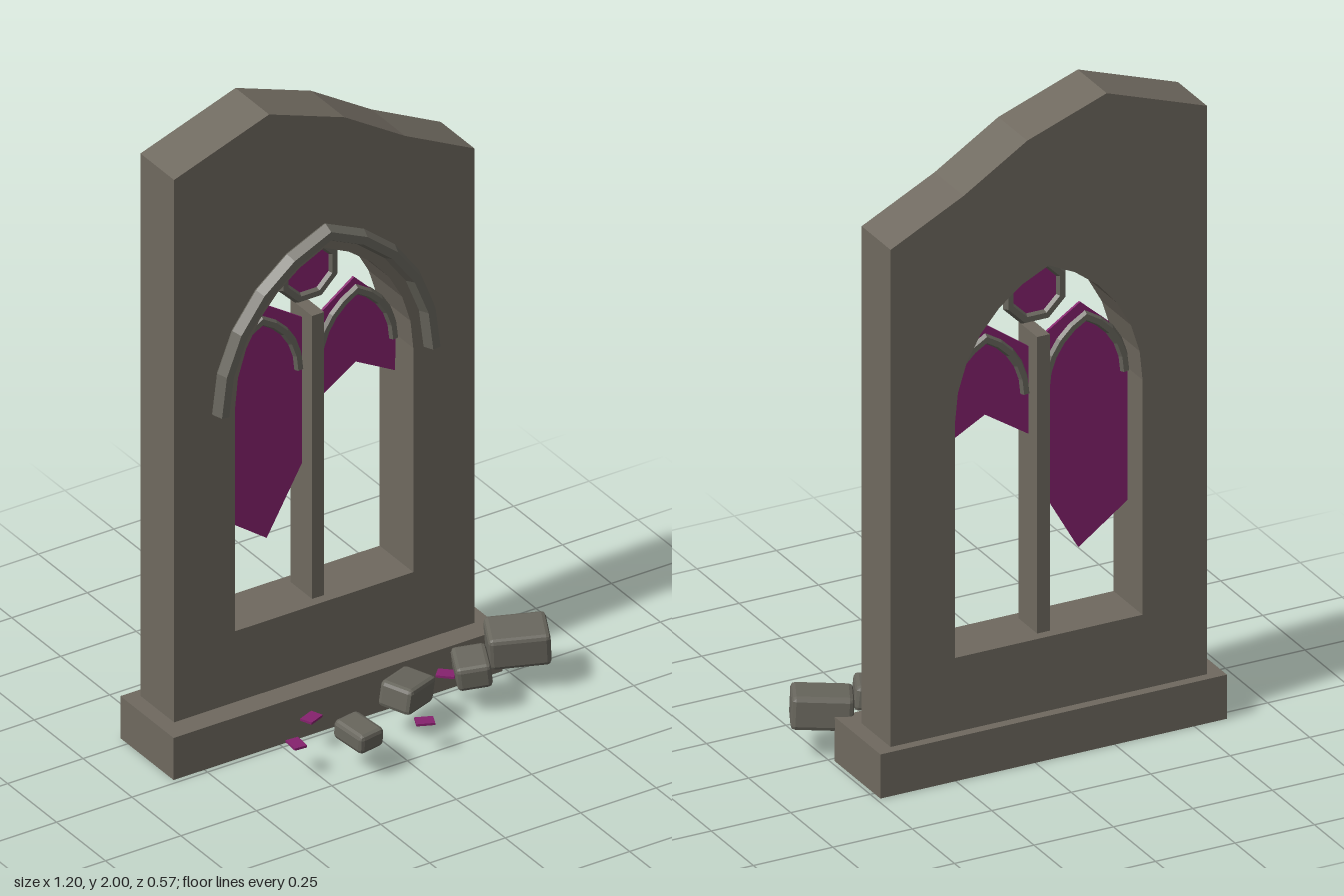
import * as THREE from 'three';
import { RoundedBoxGeometry } from 'three/addons/geometries/RoundedBoxGeometry.js';

const CX = -0.0575;      // window axis
const SPRING = 1.09;     // height where the arches start
const MID_Z = -0.172;    // middle of the wall thickness

// Points of a pointed arch, left foot to right foot
function archPoints(cx, w, h, n) {
  const r = (w * w + h * h) / (2 * w);
  const end = Math.asin(h / r);
  const half = [];
  for (let i = 0; i <= n; i++) {
    const a = (end * i) / n;
    half.push([w - r + r * Math.cos(a), SPRING + r * Math.sin(a)]);
  }
  const left = half.map(([x, y]) => new THREE.Vector2(cx - x, y));
  const right = half.slice(0, n).reverse().map(([x, y]) => new THREE.Vector2(cx + x, y));
  return [...left, ...right];
}

// Six-sided bar swept along a path in the xy plane, mitred at the corners
function sweptBar(path, halfWidth, halfDepth, z) {
  const section = [[1, 0], [0.5, 1], [-0.5, 1], [-1, 0], [-0.5, -1], [0.5, -1]];
  const normalOf = (a, b) => new THREE.Vector2(a.y - b.y, b.x - a.x).normalize();
  const last = path.length - 1;
  const pos = [], idx = [], m = section.length;
  path.forEach((p, i) => {
    const n0 = normalOf(path[Math.max(i - 1, 0)], path[Math.max(i, 1)]);
    const n1 = normalOf(path[Math.min(i, last - 1)], path[Math.min(i + 1, last)]);
    const n = n0.clone().add(n1).normalize();
    n.divideScalar(n.dot(n0));
    for (const [o, d] of section) {
      pos.push(p.x + n.x * o * halfWidth, p.y + n.y * o * halfWidth, z + d * halfDepth);
    }
  });
  for (let i = 0; i < last; i++) {
    for (let j = 0; j < m; j++) {
      const a = i * m + j, b = i * m + ((j + 1) % m);
      idx.push(a, b, b + m, a, b + m, a + m);
    }
  }
  for (let j = 1; j < m - 1; j++) {
    const e = last * m;
    idx.push(0, j + 1, j, e, e + j, e + j + 1);
  }
  const g = new THREE.BufferGeometry();
  g.setAttribute('position', new THREE.Float32BufferAttribute(pos, 3));
  g.setIndex(idx);
  const flat = g.toNonIndexed();
  flat.computeVertexNormals();
  return flat;
}

const shapeOf = (pts) => new THREE.Shape(pts.map(([x, y]) => new THREE.Vector2(x, y)));

export function createModel() {
  const model = new THREE.Group();
  model.name = 'ruinedWindow';
  const stone = new THREE.MeshStandardMaterial({ color: 0x6f695f });
  stone.name = 'stone';
  const trim = new THREE.MeshStandardMaterial({ color: 0x68665d, flatShading: true });
  trim.name = 'trimStone';
  const glass = new THREE.MeshStandardMaterial({ color: 0x86226e });
  glass.name = 'purpleGlass';

  const add = (name, geometry, material, x = 0, y = 0, z = 0) => {
    const mesh = new THREE.Mesh(geometry, material);
    mesh.name = name;
    mesh.position.set(x, y, z);
    model.add(mesh);
    return mesh;
  };

  // Plinth
  add('plinth', new THREE.BoxGeometry(1.09, 0.136, 0.272), stone, CX, 0.068, -0.151);

  // Wall with broken top and pointed opening
  const wall = shapeOf([[-0.555, 0.136], [0.44, 0.136], [0.44, 1.67], [0.21, 1.785],
    [0.01, 1.91], [-0.24, 2], [-0.555, 1.89]]);
  wall.holes.push(new THREE.Path([
    new THREE.Vector2(CX + 0.295, 0.365), new THREE.Vector2(CX - 0.295, 0.365),
    ...archPoints(CX, 0.295, 0.42, 6),
  ]));
  add('wall', new THREE.ExtrudeGeometry(wall, { depth: 0.172, bevelEnabled: false }),
    stone, 0, 0, -0.258);

  // Hood mould over the opening
  add('hoodMould', sweptBar(archPoints(CX, 0.35, 0.475, 5), 0.024, 0.03, -0.08), trim);

  // Mullion and the two lancet arches
  add('mullion', new THREE.BoxGeometry(0.04, 0.915, 0.11), stone, CX, 0.8225, MID_Z);
  for (const [name, side] of [['rightLancet', -1], ['leftLancet', 1]]) {
    add(name, sweptBar(archPoints(CX + side * 0.157, 0.125, 0.195, 5), 0.016, 0.016, MID_Z), trim);
  }

  // Round light at the top
  const ring = add('roundLightFrame', new THREE.TorusGeometry(0.088, 0.018, 6, 8),
    trim, CX, 1.4, MID_Z);
  ring.rotation.z = Math.PI / 8;
  const pane = add('roundLightGlass', new THREE.CylinderGeometry(0.085, 0.085, 0.008, 16),
    glass, CX, 1.4, MID_Z);
  pane.rotation.x = Math.PI / 2;

  // Broken panes
  const panes = {
    rightPane: [[-0.348, 0.685], [-0.195, 0.575], [-0.078, 0.78], [-0.077, 1.25],
      [-0.2, 1.33], [-0.29, 1.25], [-0.348, 1.12]],
    leftPane: [[-0.037, 0.96], [0.1, 1.05], [0.23, 0.98], [0.233, 1.12],
      [0.18, 1.24], [0.095, 1.325], [-0.037, 1.23]],
  };
  for (const [name, pts] of Object.entries(panes)) {
    add(name, new THREE.ExtrudeGeometry(shapeOf(pts), { depth: 0.008, bevelEnabled: false }),
      glass, 0, 0, MID_Z - 0.004);
  }

  // Fallen blocks: x, y, z, width, height, depth, turn, tilt
  const blocks = [
    [-0.14, 0.12, 0.217, 0.088, 0.06, 0.12, 0.16, 0],
    [0.092, 0.125, 0.106, 0.14, 0.08, 0.105, 0.46, -0.16],
    [0.313, 0.125, 0.096, 0.1, 0.075, 0.125, -0.43, 0.14],
    [0.488, 0.136, 0.06, 0.175, 0.1, 0.135, -0.45, 0.08],
  ];
  for (const [x, y, z, w, h, d, turn, tilt] of blocks) {
    const block = add('fallenBlock', new RoundedBoxGeometry(w, h, d, 1, 0.013), trim, x, y, z);
    block.rotation.set(0.08, turn, tilt);
  }

  // Glass shards: x, z, turn
  const shards = [[-0.188, 0.05, 0.38], [-0.3, 0.146, 1.5], [-0.102, 0.12, 0.32],
    [0.066, 0.237, -0.42], [0.256, 0.053, -0.75]];
  for (const [x, z, turn] of shards) {
    const shard = add('glassShard', new THREE.BoxGeometry(0.053, 0.007, 0.039), glass, x, 0.1, z);
    shard.rotation.y = turn;
  }
  return model;
}
